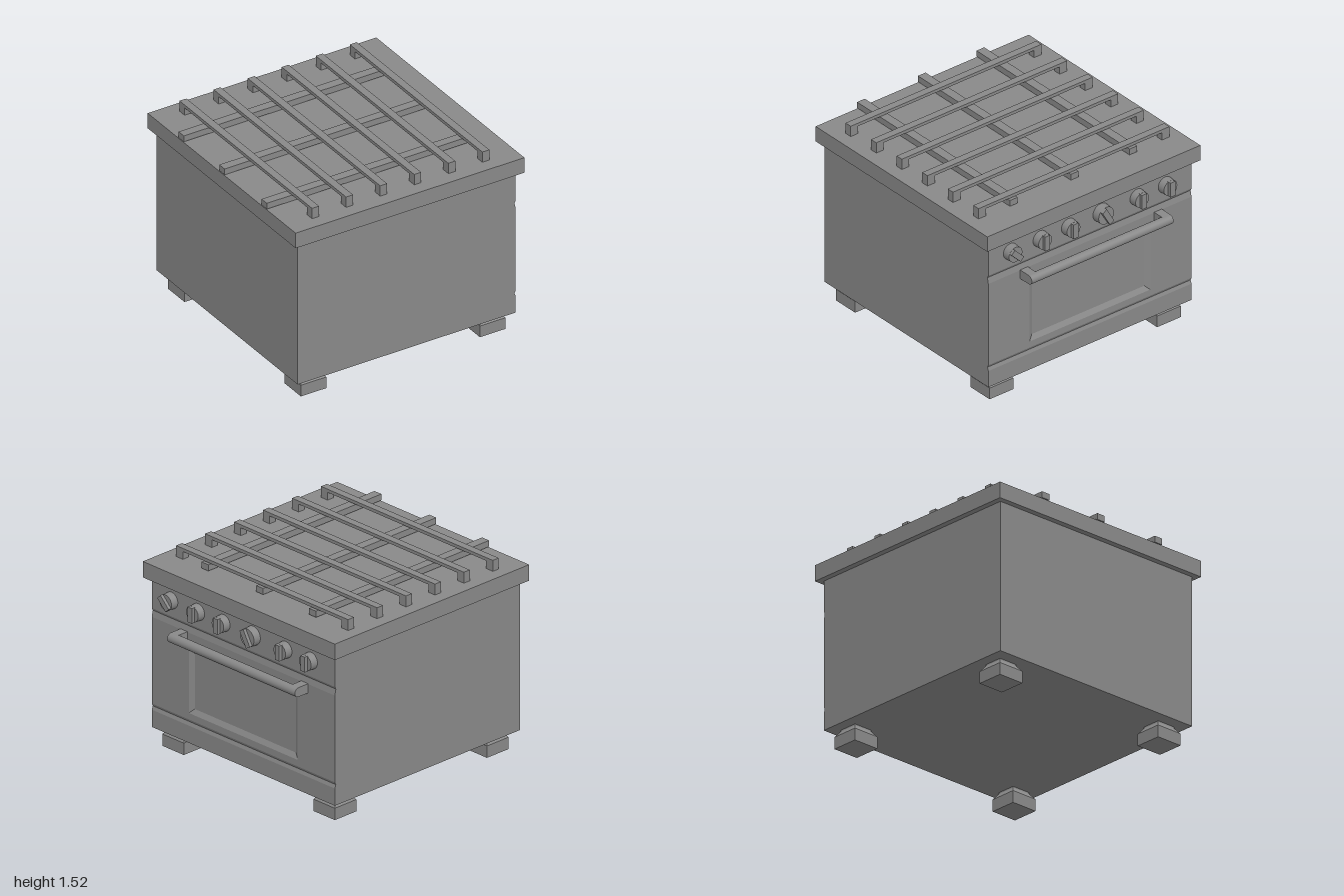
import * as THREE from 'three';

const grey = new THREE.MeshStandardMaterial({ color: 0x888888 });

function add(parent, name, geometry, x = 0, y = 0, z = 0) {
  const mesh = new THREE.Mesh(geometry, grey);
  mesh.name = name;
  mesh.position.set(x, y, z);
  parent.add(mesh);
  return mesh;
}

// Box given by its extents on each axis
function addBox(parent, name, [x0, x1], [y0, y1], [z0, z1]) {
  return add(parent, name, new THREE.BoxGeometry(x1 - x0, y1 - y0, z1 - z0),
    (x0 + x1) / 2, (y0 + y1) / 2, (z0 + z1) / 2);
}

// Rectangular rings [x, yLow, yHigh, halfZ] joined from back to front, last one capped
function loftRects(rings) {
  const pos = [], index = [];
  for (const [x, y0, y1, h] of rings) {
    pos.push(x, y0, h, x, y0, -h, x, y1, -h, x, y1, h);
  }
  for (let i = 0; i < rings.length - 1; i++) {
    for (let j = 0; j < 4; j++) {
      const a = i * 4 + j, b = i * 4 + (j + 1) % 4;
      index.push(a, b, b + 4, a, b + 4, a + 4);
    }
  }
  const e = (rings.length - 1) * 4;
  index.push(e, e + 1, e + 2, e, e + 2, e + 3);
  const indexed = new THREE.BufferGeometry();
  indexed.setAttribute('position', new THREE.Float32BufferAttribute(pos, 3));
  indexed.setIndex(index);
  const geometry = indexed.toNonIndexed();
  geometry.computeVertexNormals();
  return geometry;
}

function makeKnob(radius, angle) {
  const knob = new THREE.Group();
  knob.name = 'knob';
  const dial = new THREE.CylinderGeometry(radius * 0.95, radius, 0.07, 32).rotateZ(-Math.PI / 2);
  add(knob, 'knobDial', dial, 0.025);
  addBox(knob, 'knobGrip', [0.05, 0.085], [-radius * 0.92, radius * 0.92], [-0.022, 0.022]);
  knob.rotation.x = angle;
  return knob;
}

export function createModel() {
  const model = new THREE.Group();
  model.name = 'rangeCooker';
  const w = 0.925;

  // Cabinet and overhanging cooktop
  addBox(model, 'cabinet', [-0.955, 0.8], [0.146, 1.307], [-w, w]);
  addBox(model, 'cooktop', [-1, 0.913], [1.307, 1.431], [-0.97, 0.97]);

  // Front panels with shallow bevelled grooves between them
  add(model, 'controlPanel', loftRects([
    [0.8, 1.05, 1.307, w], [0.859, 1.05, 1.307, w], [0.869, 1.07, 1.307, w]]));
  add(model, 'ovenDoor', loftRects([
    [0.8, 0.307, 1.05, w], [0.859, 0.307, 1.05, w], [0.869, 0.328, 1.002, w],
    [0.869, 0.378, 0.887, 0.55], [0.848, 0.415, 0.846, 0.512]]));
  add(model, 'kickPanel', loftRects([
    [0.8, 0.146, 0.307, w], [0.859, 0.146, 0.307, w], [0.869, 0.146, 0.28, w]]));

  // Door handle: round bar on two end brackets
  const handle = new THREE.Group();
  handle.name = 'doorHandle';
  model.add(handle);
  add(handle, 'handleBar',
    new THREE.CylinderGeometry(0.036, 0.036, 1.29, 24).rotateX(Math.PI / 2), 0.964, 0.969, -0.01);
  for (const z of [0.6, -0.62]) {
    addBox(handle, 'handleBracket', [0.855, 0.964], [0.933, 1.005], [z - 0.035, z + 0.035]);
  }

  // Control knobs: z position, radius, turn
  const knobs = [
    [0.725, 0.064, Math.PI / 4], [0.455, 0.064, 0], [0.197, 0.064, 0],
    [-0.1, 0.073, Math.PI / 6], [-0.428, 0.064, 0], [-0.686, 0.064, 0]];
  for (const [z, radius, angle] of knobs) {
    const knob = makeKnob(radius, angle);
    knob.position.set(0.869, 1.196, z);
    model.add(knob);
  }

  // Grate: six bridged bars over three cross rails
  const grate = new THREE.Group();
  grate.name = 'grate';
  model.add(grate);
  for (let i = 0; i < 6; i++) {
    const x = -0.767 + i * 0.285, span = [x - 0.029, x + 0.029];
    addBox(grate, 'grateBar', span, [1.491, 1.516], [-0.872, 0.865]);
    addBox(grate, 'grateLeg', span, [1.431, 1.491], [0.798, 0.865]);
    addBox(grate, 'grateLeg', span, [1.431, 1.491], [-0.872, -0.805]);
  }
  for (const z of [0.558, 0.004, -0.53]) {
    addBox(grate, 'grateRail', [-1, 0.704], [1.437, 1.485], [z - 0.035, z + 0.035]);
  }

  // Feet: square blocks with a narrowed neck
  const footGeometry = loftRects([
    [0, 0, 0, 0], [0, -0.106, 0.106, 0.108], [0.092, -0.106, 0.106, 0.108],
    [0.134, -0.074, 0.074, 0.078], [0.146, -0.072, 0.072, 0.076]]).rotateZ(Math.PI / 2);
  for (const x of [-0.787, 0.711]) {
    for (const z of [-0.763, 0.763]) add(model, 'foot', footGeometry, x, 0, z);
  }
  return model;
}
